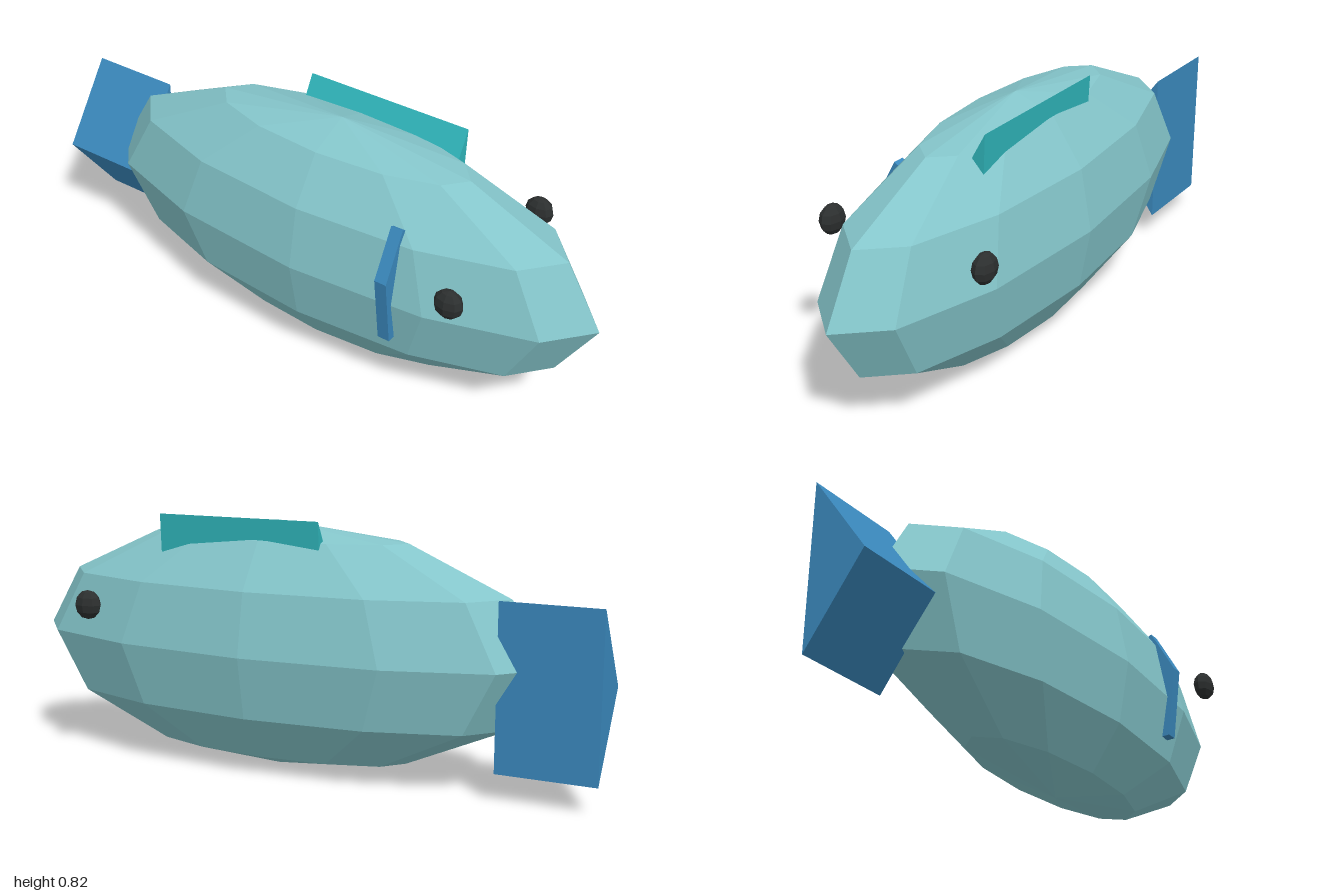
import * as THREE from 'three';

const mat = (name, color) => {
  const m = new THREE.MeshStandardMaterial({ color, flatShading: true });
  m.name = name;
  return m;
};

// Faceted ellipsoid
function ellipsoid(name, material, segs, rows, radii, pos) {
  const geo = new THREE.SphereGeometry(1, segs, rows).scale(...radii);
  const mesh = new THREE.Mesh(geo, material);
  mesh.name = name;
  mesh.position.set(...pos);
  return mesh;
}

// Prism with a [z, y] cross-section running along x from x0 to x1
function prism(name, material, section, x0, x1) {
  const shape = new THREE.Shape(section.map(([z, y]) => new THREE.Vector2(-z, y)));
  const geo = new THREE.ExtrudeGeometry(shape, { depth: x1 - x0, bevelEnabled: false });
  geo.rotateY(Math.PI / 2).translate(x0, 0, 0);
  const mesh = new THREE.Mesh(geo, material);
  mesh.name = name;
  return mesh;
}

export function createModel() {
  const group = new THREE.Group();
  group.name = 'fish';
  const skin = mat('paleTeal', 0x84c5ca);
  const blue = mat('blue', 0x3a88bc);
  const teal = mat('brightTeal', 0x2fb4b9);
  const black = mat('black', 0x2c2f2f);

  // Body, nose towards +x
  group.add(ellipsoid('body', skin, 12, 6, [0.91, 0.405, 0.278], [0.09, 0.406, 0]));

  // Eyes, just off each flank
  for (const [name, side] of [['leftEye', -1], ['rightEye', 1]]) {
    group.add(ellipsoid(name, black, 8, 6, [0.048, 0.048, 0.033], [0.648, 0.532, side * 0.274]));
  }

  // Tail: three-sided prism, flat at the back
  group.add(prism('tail', blue, [[0.106, 0.352], [-0.085, 0.616], [-0.085, 0.088]], -1, -0.683));

  // Dorsal fin: thin wedge sunk into the far side of the back
  group.add(prism('dorsalFin', teal, [[-0.14, 0.826], [-0.12, 0.46], [-0.05, 0.666]], -0.12, 0.45));

  // Gill: bent strip on the near flank only
  group.add(prism('gill', blue, [
    [0.2, 0.655], [0.18, 0.645], [0.13, 0.45], [0.215, 0.266], [0.252, 0.268], [0.282, 0.505],
  ], 0.403, 0.443));

  return group;
}
